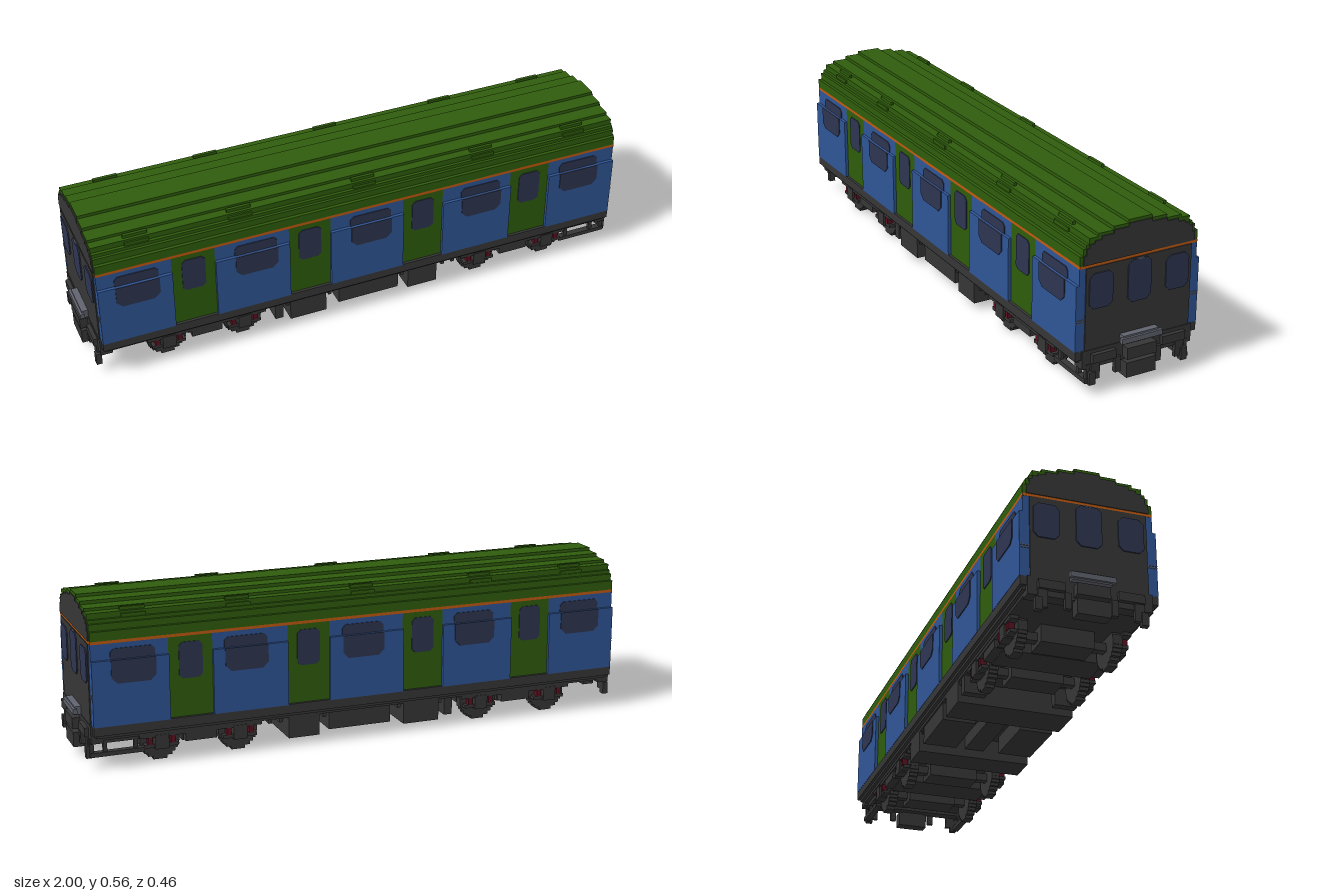
import * as THREE from 'three';

const mat = (name, color) => {
  const m = new THREE.MeshStandardMaterial({ color });
  m.name = name;
  return m;
};

export function createModel() {
  const car = new THREE.Group();
  car.name = 'railCarriage';
  const green = mat('green', 0x2e5c0c), blue = mat('blue', 0x2f5596), dark = mat('charcoal', 0x363636);
  const glass = mat('glass', 0x2d3550), orange = mat('orange', 0xc05a10);
  const grey = mat('grey', 0x60636e), red = mat('darkRed', 0x5a1020);

  const add = (name, geo, m, parent = car) => {
    const mesh = new THREE.Mesh(geo, m);
    mesh.name = name;
    parent.add(mesh);
    return mesh;
  };
  // box given by its limits on each axis
  const box = (name, m, x0, x1, y0, y1, z0, z1, parent) => {
    const g = new THREE.BoxGeometry(x1 - x0, y1 - y0, Math.abs(z1 - z0));
    g.translate((x0 + x1) / 2, (y0 + y1) / 2, (z0 + z1) / 2);
    return add(name, g, m, parent);
  };
  // the same box on both long sides
  const sides = (name, m, x0, x1, y0, y1, z0, z1, parent) => {
    for (const s of [1, -1]) box(name, m, x0, x1, y0, y1, s * z0, s * z1, parent);
  };
  // thin plate with cut corners, centred on its own plane
  const plate = (w, y0, y1, cutLow, cutHigh) => {
    const h = w / 2, a = cutLow, b = cutHigh;
    const pts = [[-h + a, y0], [h - a, y0], [h, y0 + a], [h, y1 - b], [h - b, y1], [-h + b, y1], [-h, y1 - b], [-h, y0 + a]];
    const g = new THREE.ExtrudeGeometry(new THREE.Shape(pts.map(p => new THREE.Vector2(...p))), { depth: 0.006, bevelEnabled: false });
    return g.translate(0, 0, -0.003);
  };
  // stepped arch, listed as [half width, top of step], run along x
  const steppedArch = (y0, steps, x0, x1) => {
    const right = [];
    let y = y0;
    for (const [w, top] of steps) {
      right.push([w, y], [w, top]);
      y = top;
    }
    const left = right.map(([w, h]) => [-w, h]).reverse();
    const shape = new THREE.Shape([...right, ...left].map(p => new THREE.Vector2(...p)));
    const g = new THREE.ExtrudeGeometry(shape, { depth: x1 - x0, bevelEnabled: false });
    return g.rotateY(Math.PI / 2).translate(x0, 0, 0);
  };

  const L = 0.966;
  // roof with raised ventilators
  add('roof', steppedArch(0.443, [[0.217, 0.475], [0.205, 0.498], [0.195, 0.51], [0.184, 0.53],
    [0.152, 0.54], [0.098, 0.552], [0.043, 0.563]], -L, L), green);
  for (const x of [-0.81, -0.45, 0, 0.45, 0.81]) sides('roofVent', green, x - 0.042, x + 0.042, 0.53, 0.541, 0.163, 0.174);
  for (const x of [-0.81, -0.45, 0, 0.45, 0.81]) sides('roofVentLip', green, x - 0.042, x + 0.042, 0.51, 0.522, 0.18, 0.19);

  // body shell and waist stripe
  box('bodyShell', blue, -L, L, 0.15, 0.434, -0.212, 0.212);
  box('stripe', orange, -L - 0.001, L + 0.001, 0.433, 0.443, -0.217, 0.217);

  // doors, with side panels between them
  const doors = [-0.632, -0.214, 0.211, 0.628], dw = 0.076;
  const windows = [-0.83, -0.41, 0.012, 0.435, 0.825];
  for (const x of doors) {
    sides('door', green, x - dw, x + dw, 0.155, 0.434, 0.205, 0.217);
    for (const s of [1, -1])
      add('doorWindow', plate(0.082, 0.288, 0.413, 0.012, 0.012), glass).position.set(x, 0, s * 0.217);
  }
  windows.forEach((x, i) => {
    const x0 = i === 0 ? -L : doors[i - 1] + dw, x1 = i === 4 ? L : doors[i] - dw;
    sides('lowerPanel', blue, x0, x1, 0.153, 0.378, 0.205, 0.228);
    sides('upperPanel', blue, x0, x1, 0.378, 0.434, 0.205, 0.217);
    for (const s of [1, -1]) {
      add('windowLower', plate(0.152, 0.298, 0.378, 0.02, 0), glass).position.set(x, 0, s * 0.228);
      add('windowUpper', plate(0.152, 0.378, 0.415, 0, 0.012), glass).position.set(x, 0, s * 0.217);
    }
  });

  // carriage ends
  for (const e of [1, -1]) {
    const end = new THREE.Group();
    end.name = e > 0 ? 'leftEnd' : 'rightEnd';
    end.rotation.y = e > 0 ? 0 : Math.PI;
    car.add(end);
    box('endWall', dark, L - 0.01, L + 0.004, 0.15, 0.433, -0.195, 0.195, end);
    add('endArch', steppedArch(0.443, [[0.205, 0.475], [0.195, 0.498], [0.184, 0.51], [0.165, 0.519],
      [0.14, 0.53], [0.098, 0.541], [0.043, 0.552]], L - 0.01, L + 0.004), dark, end);
    for (const [z, w, y0, y1] of [[0, 0.086, 0.284, 0.428], [0.141, 0.086, 0.292, 0.412], [-0.141, 0.086, 0.292, 0.412]]) {
      const g = plate(w, y0, y1, 0.016, 0.016).rotateY(Math.PI / 2);
      add('endWindow', g, glass, end).position.set(L + 0.005, 0, z);
    }
    box('lampStrip', grey, L, L + 0.009, 0.426, 0.43, -0.012, 0.012, end);
    for (const y of [0.25, 0.258]) sides('cornerRail', grey, L - 0.004, L + 0.002, y, y + 0.003, 0.195, 0.228, end);
    // footplate and coupling gear
    box('footplate', grey, L, 0.992, 0.153, 0.182, -0.066, 0.066, end);
    box('footplateEdge', grey, 0.985, 1, 0.158, 0.176, -0.075, 0.075, end);
    box('bufferBeam', dark, 0.93, 0.972, 0.09, 0.153, -0.205, 0.205, end);
    sides('endBox', dark, 0.965, 0.986, 0.11, 0.14, 0.087, 0.174, end);
    sides('hose', dark, 0.965, 0.98, 0.055, 0.11, 0.066, 0.087, end);
    sides('guardIron', dark, 0.965, 0.985, 0.036, 0.08, 0.162, 0.185, end);
    sides('guardHanger', dark, 0.965, 0.978, 0.05, 0.11, 0.142, 0.174, end);
    box('couplerHead', dark, 0.96, 1, 0.1, 0.14, -0.055, 0.055, end);
    box('couplerLower', dark, 0.955, 0.998, 0.036, 0.088, -0.055, 0.055, end);
    box('couplerStem', dark, 0.955, 0.975, 0.08, 0.11, -0.04, 0.04, end);
  }

  // underframe
  box('sill', dark, -L, L, 0.122, 0.155, -0.227, 0.227);
  box('sillStep', dark, -0.955, 0.955, 0.111, 0.122, -0.217, 0.217);
  box('floorPan', dark, -0.94, 0.94, 0.1, 0.111, -0.205, 0.205);
  for (let x = -0.34; x < 0.35; x += 0.04) sides('underframeRib', dark, x, x + 0.012, 0.085, 0.1, 0.17, 0.2);

  // equipment boxes below the floor
  box('largeEquipmentBox', dark, -0.285, -0.15, 0.025, 0.1, -0.205, 0.205);
  box('smallEquipmentBox', dark, 0.167, 0.28, 0.025, 0.1, -0.205, 0.205);
  sides('centreEquipmentBox', dark, -0.1, 0.13, 0.038, 0.1, 0.08, 0.2);
  box('centreSpine', dark, -0.15, 0.167, 0.055, 0.1, -0.035, 0.035);
  sides('sideCabinet', dark, -0.34, -0.31, 0.038, 0.1, 0.12, 0.2);

  // step frame near the left end
  sides('stepRail', dark, 0.79, 0.975, 0.04, 0.055, 0.172, 0.195);
  for (const x of [0.81, 0.915, 0.96]) sides('stepPost', dark, x, x + 0.014, 0.05, 0.105, 0.178, 0.19);
  sides('stepTopBar', dark, 0.8, 0.97, 0.085, 0.102, 0.178, 0.19);

  // bogies with stepped wheels
  const wheelRows = [0.024, 0.042, 0.054, 0.062, 0.067, 0.069];
  for (const cx of [-0.592, 0.592]) {
    const bogie = new THREE.Group();
    bogie.name = 'bogie';
    bogie.position.x = cx;
    car.add(bogie);
    for (const wx of [-0.138, 0.138]) {
      const rows = [...wheelRows, ...[...wheelRows].reverse()];
      rows.forEach((w, i) => sides('wheel', dark, wx - w, wx + w, i * 0.0115, (i + 1) * 0.0115, 0.142, 0.174, bogie));
      box('axle', dark, wx - 0.014, wx + 0.014, 0.055, 0.083, -0.142, 0.142, bogie);
      sides('axleBox', dark, wx - 0.024, wx + 0.024, 0.045, 0.095, 0.17, 0.205, bogie);
      sides('springSeat', dark, wx - 0.06, wx + 0.06, 0.05, 0.062, 0.175, 0.198, bogie);
      for (const d of [-0.04, 0.04])
        sides('spring', red, wx + d - 0.008, wx + d + 0.008, 0.062, 0.095, 0.178, 0.2, bogie);
    }
    sides('sideFrame', dark, -0.215, 0.215, 0.088, 0.102, 0.174, 0.203, bogie);
    sides('frameBolster', dark, -0.055, 0.055, 0.06, 0.1, 0.17, 0.2, bogie);
    box('transom', dark, -0.06, 0.06, 0.055, 0.1, -0.17, 0.17, bogie);
    for (const d of [-0.138, 0.138]) box('motorCase', dark, d - 0.045, d + 0.045, 0.04, 0.1, -0.09, 0.09, bogie);
  }
  return car;
}
